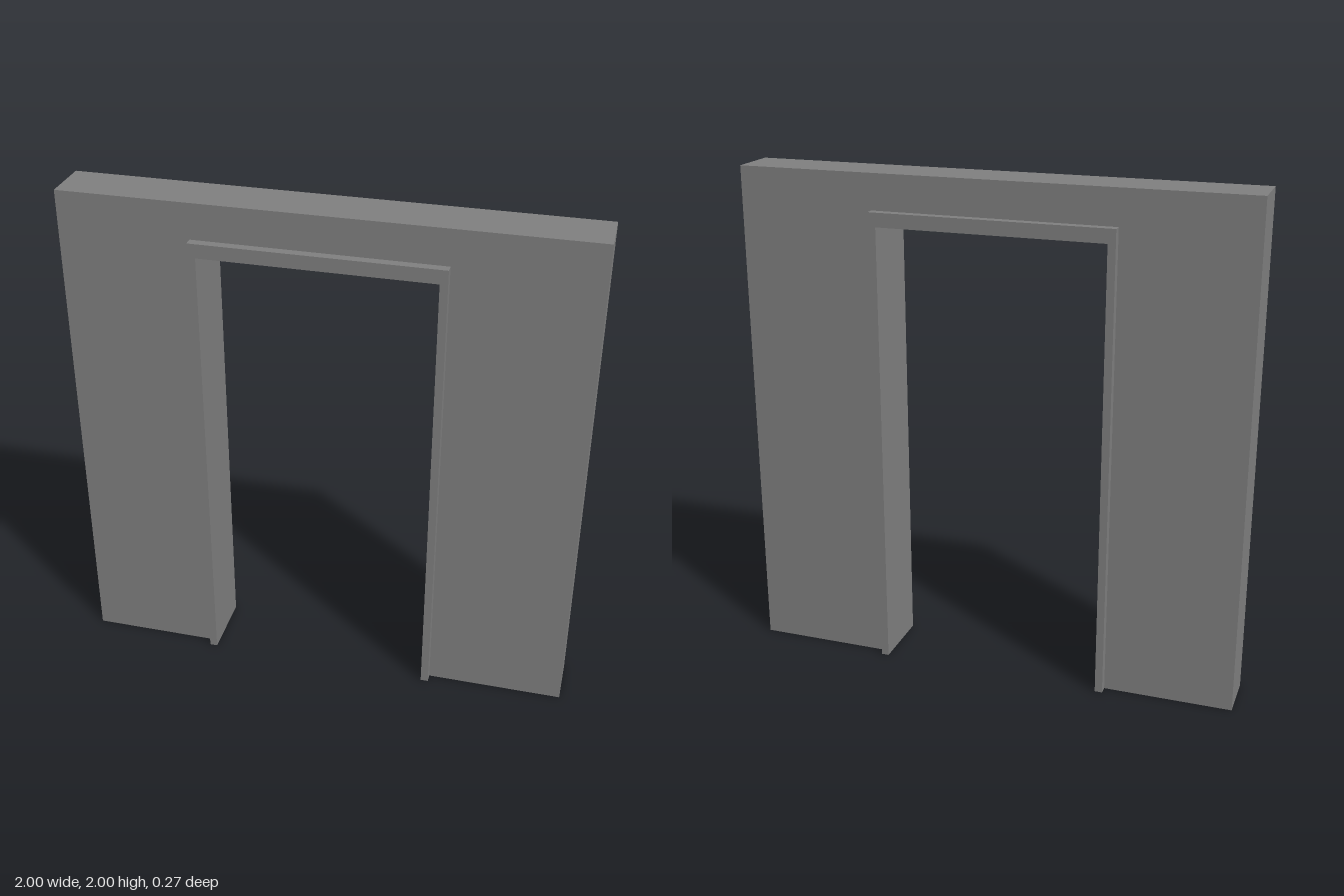
import * as THREE from 'three';

// Upright arch outline, open at the floor
function archShape(left, right, top, innerLeft, innerRight, innerTop) {
  return new THREE.Shape([
    [left, 0], [innerLeft, 0], [innerLeft, innerTop], [innerRight, innerTop],
    [innerRight, 0], [right, 0], [right, top], [left, top],
  ].map(([x, y]) => new THREE.Vector2(x, y)));
}

export function createModel() {
  const group = new THREE.Group();
  group.name = 'doorwayWall';
  const grey = new THREE.MeshStandardMaterial({ color: 0x808080 });
  grey.name = 'plaster grey';

  const opening = [-0.46, 0.43, 1.805];
  const wallHalf = 0.1, trimDepth = 0.035;

  function addArch(name, outer, depth, z) {
    const geometry = new THREE.ExtrudeGeometry(archShape(...outer, ...opening), { depth, bevelEnabled: false });
    const mesh = new THREE.Mesh(geometry, grey);
    mesh.name = name;
    mesh.position.z = z;
    group.add(mesh);
  }

  // Wall with the door opening
  addArch('wall', [-1, 1, 2], wallHalf * 2, -wallHalf);

  // Raised door casing on both faces
  const casing = [-0.49, 0.46, 1.86];
  addArch('frontCasing', casing, trimDepth, wallHalf);
  addArch('backCasing', casing, trimDepth, -wallHalf - trimDepth);

  return group;
}
